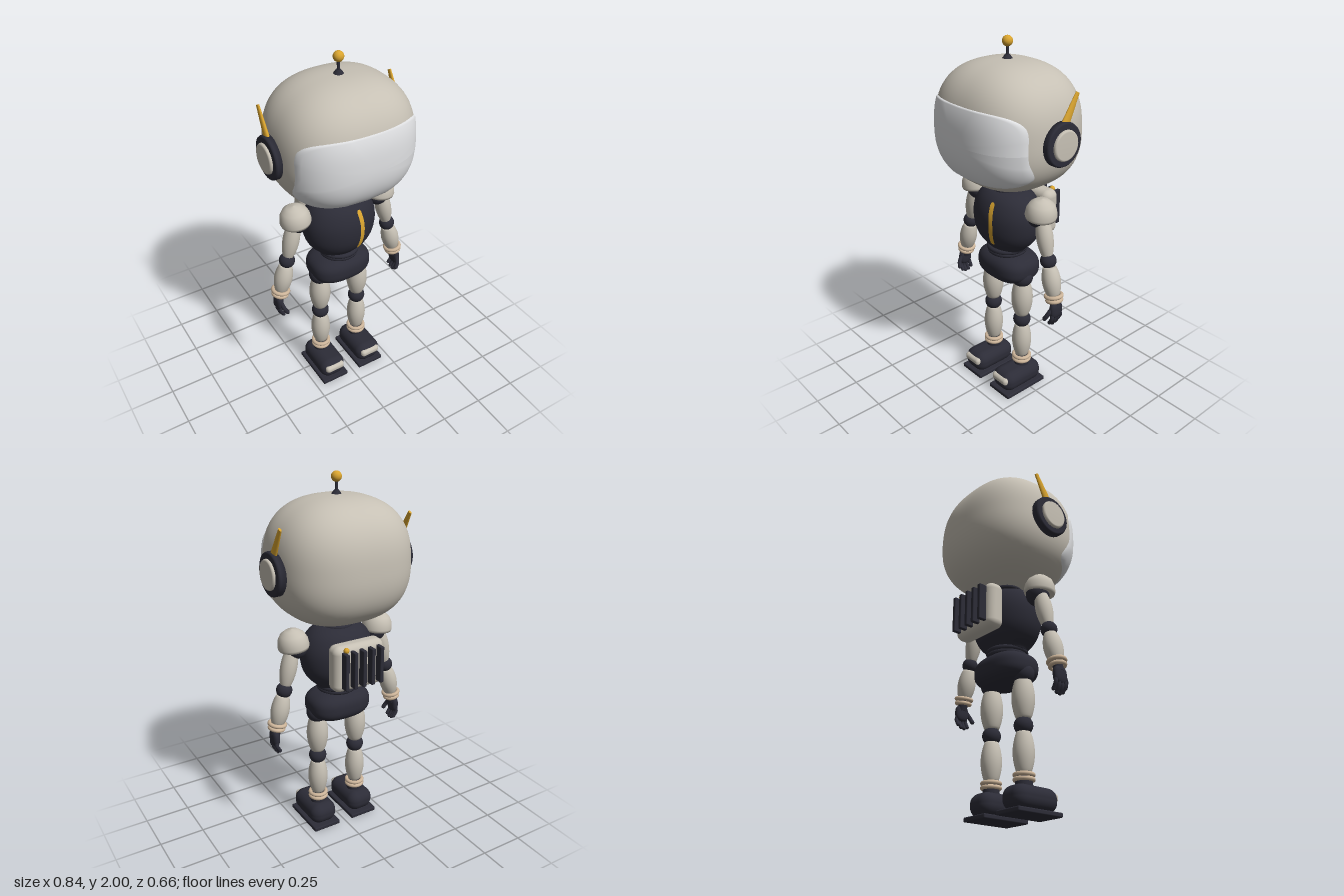
import * as THREE from 'three';
import { mergeVertices } from 'three/addons/utils/BufferGeometryUtils.js';
import { RoundedBoxGeometry } from 'three/addons/geometries/RoundedBoxGeometry.js';

const paint = (name, color) => {
  const m = new THREE.MeshStandardMaterial({ color });
  m.name = name;
  return m;
};
const V = (x, y, z = 0) => new THREE.Vector3(x, y, z);

// Rounded, boxy ellipsoid; taper narrows the top
function superEllipsoid(a, b, c, n, taper = 0) {
  let g = new THREE.SphereGeometry(1, 64, 48);
  g.deleteAttribute('uv');
  g.deleteAttribute('normal');
  g = mergeVertices(g, 1e-5);
  const p = g.attributes.position;
  for (let i = 0; i < p.count; i++) {
    const x = p.getX(i), y = p.getY(i), z = p.getZ(i);
    const r = (Math.abs(x) ** n + Math.abs(y) ** n + Math.abs(z) ** n) ** (-1 / n);
    const k = 1 - taper * y * r;
    p.setXYZ(i, a * x * r * k, b * y * r, c * z * r * k);
  }
  g.computeVertexNormals();
  return g;
}

function gridGeometry(rows, cols, point) {
  const pos = [], idx = [];
  for (let i = 0; i <= rows; i++)
    for (let j = 0; j <= cols; j++) pos.push(...point(i, j));
  for (let i = 0; i < rows; i++)
    for (let j = 0; j < cols; j++) {
      const a = i * (cols + 1) + j, b = a + cols + 1;
      idx.push(a, b, b + 1, a, b + 1, a + 1);
    }
  const g = new THREE.BufferGeometry();
  g.setAttribute('position', new THREE.Float32BufferAttribute(pos, 3));
  g.setIndex(idx);
  g.computeVertexNormals();
  return g;
}

// Swelling limb segment along y
function limb(length, radius, end = 0.55) {
  const pts = [new THREE.Vector2(0, -length / 2)];
  for (let i = 0; i <= 20; i++) {
    const t = i / 20;
    pts.push(new THREE.Vector2(radius * (end + (1 - end) * Math.sin(Math.PI * t) ** 0.8), (t - 0.5) * length));
  }
  pts.push(new THREE.Vector2(0, length / 2));
  return new THREE.LatheGeometry(pts, 28);
}

export function createModel() {
  const shell = paint('shell', 0xc6c0b4), dark = paint('dark', 0x2c2c37), gold = paint('gold', 0xd9a42f);
  const visorWhite = paint('visorWhite', 0xe0e1e3), tan = paint('tan', 0xcdb59a);
  const root = new THREE.Group();
  const add = (name, geo, mat, pos = V(0, 0), parent = root) => {
    const m = new THREE.Mesh(geo, mat);
    m.name = name;
    m.position.copy(pos);
    parent.add(m);
    return m;
  };
  const aim = (m, dir) => {
    m.quaternion.setFromUnitVectors(V(0, 1), dir.clone().normalize());
    return m;
  };
  const between = (name, a, b, mat, geo, parent) =>
    aim(add(name, geo(a.distanceTo(b)), mat, a.clone().lerp(b, 0.5), parent), b.clone().sub(a));
  const ball = (r) => new THREE.SphereGeometry(r, 28, 20);

  // Head
  const HY = 1.565, A = 0.366, B = 0.325, C = 0.327, N = 2.55, T = 0.03;
  add('head', superEllipsoid(A, B, C, N, T), shell, V(0, HY, -0.003));

  // Visor: rounded panel wrapped over the face, with a short rim
  const RINGS = 24, SEG = 80;
  const sp = (v, e) => Math.sign(v) * Math.abs(v) ** e;
  const visor = gridGeometry(RINGS + 1, SEG, (i, j) => {
    const s = Math.min(i / RINGS, 1), t = (j / SEG) * Math.PI * 2;
    const x = s * 0.338 * sp(Math.cos(t), 0.42);
    const y = 1.517 + s * 0.192 * sp(Math.sin(t), 0.42);
    const v = (y - HY) / (B * 1.01), k = 1 - T * v;
    const d = Math.max(0, 1 - Math.abs(x / (A * 1.014 * k)) ** N - Math.abs(v) ** N);
    return [x, y, 0.33 * k * d ** (1 / N) - (i > RINGS ? 0.025 : 0)];
  });
  add('visor', visor, visorWhite);

  // Crown antenna
  add('antennaBase', new THREE.CylinderGeometry(0.012, 0.03, 0.025, 24), dark, V(0, 1.896));
  add('antennaStem', new THREE.CylinderGeometry(0.008, 0.008, 0.08, 16), dark, V(0, 1.93));
  add('antennaBall', ball(0.027), gold, V(0, 1.973));

  // Neck
  add('neck', new THREE.CylinderGeometry(0.075, 0.078, 0.1, 32), dark, V(0, 1.225));
  for (const y of [1.21, 1.235])
    add('neckRing', new THREE.TorusGeometry(0.074, 0.012, 10, 36).rotateX(Math.PI / 2), dark, V(0, y));

  // Torso
  const prof = new THREE.SplineCurve([[0.001, 0.85], [0.1, 0.858], [0.125, 0.88], [0.17, 0.925], [0.198, 0.98],
    [0.208, 1.05], [0.2, 1.11], [0.172, 1.165], [0.13, 1.2], [0.08, 1.213], [0.001, 1.216]]
    .map(([x, y]) => new THREE.Vector2(x, y))).getPoints(70);
  add('torso', new THREE.LatheGeometry(prof, 48).scale(1, 1, 0.79), dark);
  const radiusAt = (y) => {
    const i = Math.max(1, prof.findIndex((p) => p.y >= y)), a = prof[i - 1], b = prof[i];
    return a.x + (b.x - a.x) * (y - a.y) / (b.y - a.y);
  };
  // Chest stripe, slightly bowed
  add('chestStripe', gridGeometry(24, 4, (i, j) => {
    const t = i / 24, y = 1.17 - 0.243 * t;
    const w = 0.013 * Math.min(1, 0.5 + 4 * Math.sin(Math.PI * t));
    const x = 0.04 + 0.011 * Math.sin(Math.PI * t) + w * (j / 2 - 1);
    return [x, y, 0.79 * Math.sqrt(radiusAt(y) ** 2 - x * x) + 0.004];
  }), gold);

  // Waist and pelvis
  for (const [y, r] of [[0.865, 0.1], [0.845, 0.095]])
    add('waistRing', new THREE.TorusGeometry(r, 0.014, 10, 40).rotateX(Math.PI / 2), dark, V(0, y));
  add('pelvis', superEllipsoid(0.178, 0.088, 0.134, 2.7), dark, V(0, 0.758, -0.008));

  // Backpack with cooling fins
  add('backpack', new RoundedBoxGeometry(0.3, 0.255, 0.1, 5, 0.04), shell, V(0, 1.047, -0.193));
  for (let i = -2; i <= 2; i++)
    add('backpackFin', new RoundedBoxGeometry(0.022, 0.2, 0.06, 2, 0.005), dark, V(i * 0.052, 1.05, -0.255));
  add('backpackLamp', ball(0.015), gold, V(0.09, 1.158, -0.245));

  for (const s of [1, -1]) {
    const P = (x, y, z = 0) => V(s * x, y, z);

    // Ear pod and its fin
    const disc = (r, h) => new THREE.LatheGeometry([[0, -h], [r, -h], [r, h * 0.55], [r - 0.003, h * 0.85], [r - 0.01, h], [0, h]]
      .map(([x, y]) => new THREE.Vector2(x, y)), 40).rotateZ(-s * Math.PI / 2);
    add('earPod', disc(0.112, 0.025), dark, P(0.37, 1.542, -0.018));
    add('earDisc', disc(0.078, 0.02), shell, P(0.39, 1.542, -0.018));
    between('earFin', P(0.372, 1.62, -0.025), P(0.372, 1.778, -0.112), gold,
      (l) => new THREE.CylinderGeometry(0.013, 0.027, l, 20).scale(0.5, 1, 1));

    // Shoulder and arm
    const arm = new THREE.Group();
    arm.name = s > 0 ? 'leftArm' : 'rightArm';
    root.add(arm);
    add('shoulderJoint', ball(0.062), dark, P(0.245, 1.125), arm);
    const cap = new THREE.LatheGeometry([[0, -0.005], [0.07, -0.005], [0.08, -0.015], [0.084, 0], [0.079, 0.035], [0.064, 0.064],
      [0.036, 0.085], [0, 0.093]].map(([x, y]) => new THREE.Vector2(x, y)), 36);
    aim(add('shoulderCap', cap, shell, P(0.26, 1.138), arm), P(0.1, 1));
    between('upperArm', P(0.265, 1.135), P(0.316, 0.915), shell, (l) => limb(l, 0.045), arm);
    add('elbow', ball(0.043), dark, P(0.322, 0.897), arm);
    between('forearm', P(0.33, 0.868), P(0.368, 0.71), shell, (l) => limb(l, 0.05, 0.65), arm);
    const down = P(0.2, -1);
    for (const [x, y, r] of [[0.37, 0.708, 0.042], [0.375, 0.684, 0.037]])
      aim(add('wristRing', new THREE.TorusGeometry(r, 0.011, 12, 32).rotateX(Math.PI / 2), tan, P(x, y), arm), down);

    // Hand with curled fingers
    between('wrist', P(0.372, 0.7), P(0.385, 0.645), dark, (l) => new THREE.CylinderGeometry(0.026, 0.026, l, 20), arm);
    add('palm', superEllipsoid(0.021, 0.047, 0.04, 2.6), dark, P(0.388, 0.63), arm);
    const finger = (name, r, ...pts) => {
      add(name, new THREE.TubeGeometry(new THREE.CatmullRomCurve3(pts), 12, r, 10), dark, undefined, arm);
      add(name + 'Tip', ball(r), dark, pts[pts.length - 1], arm);
    };
    for (let i = 0; i < 4; i++) {
      const z = 0.03 - i * 0.0205, drop = [0.01, 0, 0.003, 0.016][i];
      finger('finger', 0.0105, P(0.39, 0.61, z * 0.9), P(0.392, 0.575 + drop, z), P(0.375, 0.543 + drop, z));
    }
    finger('thumb', 0.012, P(0.386, 0.645, 0.025), P(0.378, 0.61, 0.05), P(0.365, 0.585, 0.058));

    // Leg
    const leg = new THREE.Group();
    leg.name = s > 0 ? 'leftLeg' : 'rightLeg';
    root.add(leg);
    const X = 0.124;
    add('hipJoint', ball(0.06), dark, P(X, 0.715), leg);
    between('thigh', P(X, 0.475), P(X, 0.69), shell, (l) => limb(l, 0.06, 0.62), leg);
    add('knee', ball(0.049), dark, P(X, 0.44), leg);
    between('shin', P(X, 0.2), P(X, 0.408), shell, (l) => limb(l, 0.055, 0.62), leg);
    for (const y of [0.193, 0.17])
      add('ankleRing', new THREE.TorusGeometry(0.045, 0.011, 12, 32).rotateX(Math.PI / 2), tan, P(X, y), leg);
    add('ankle', new THREE.CylinderGeometry(0.042, 0.046, 0.08, 28), dark, P(X, 0.145), leg);

    // Boot
    add('boot', new RoundedBoxGeometry(0.158, 0.122, 0.272, 6, 0.055), dark, P(X, 0.08, 0.037), leg);
    add('toePlate', new RoundedBoxGeometry(0.12, 0.046, 0.05, 5, 0.02), shell, P(X, 0.097, 0.154), leg);
    add('sole', new RoundedBoxGeometry(0.166, 0.024, 0.286, 3, 0.007), dark, P(X, 0.012, 0.034), leg);
  }
  return root;
}
